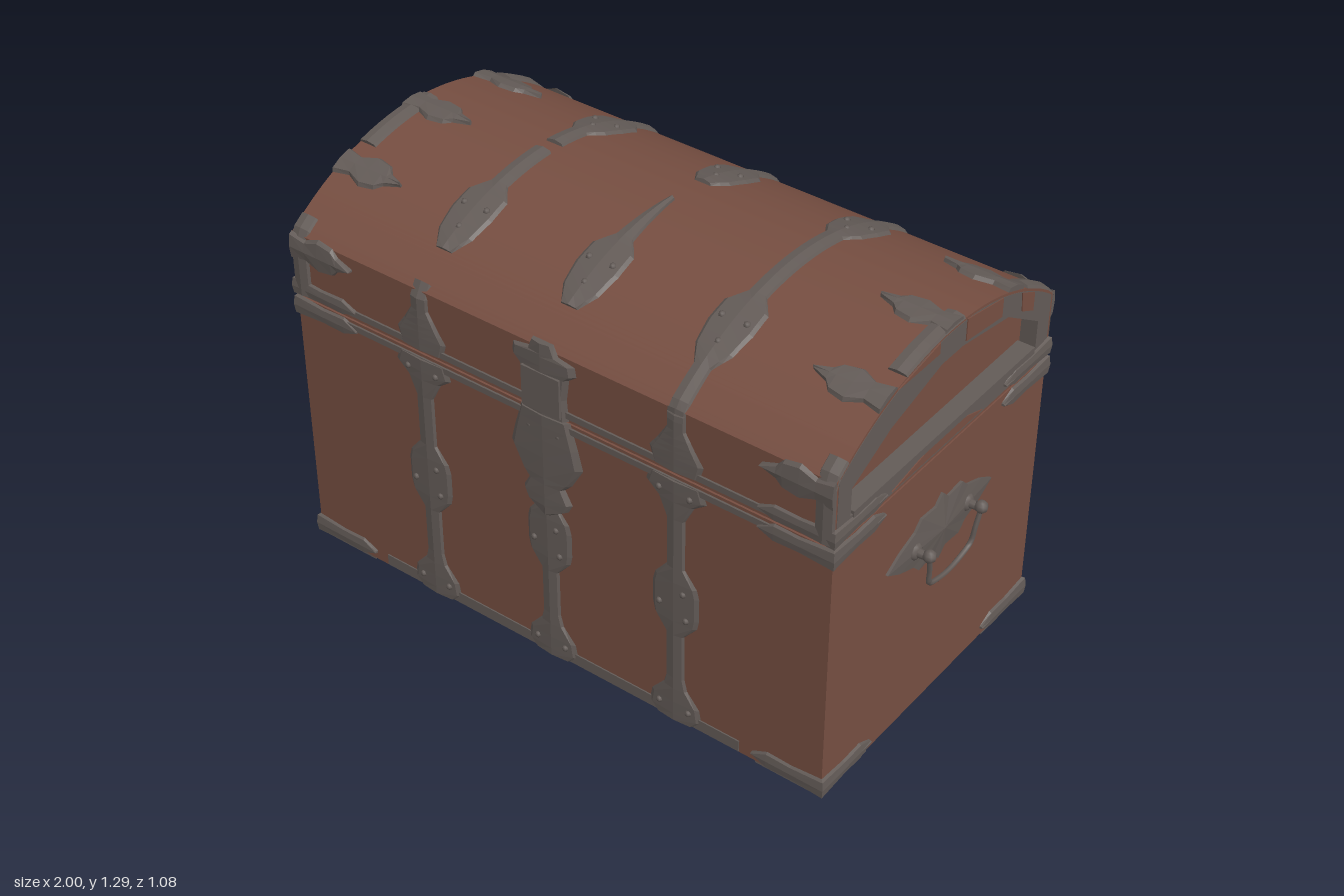
import * as THREE from 'three';
import { toCreasedNormals } from 'three/addons/utils/BufferGeometryUtils.js';

const HX = 0.925, HZ = 0.52, R = 0.841, CY = 0.437, WALL = 1.098;
const V = (x, y, z) => new THREE.Vector3(x, y, z);

export function createModel() {
  const root = new THREE.Group();
  const wood = new THREE.MeshStandardMaterial({ color: 0x764e41 });
  wood.name = 'reddish wood';
  const iron = new THREE.MeshStandardMaterial({ color: 0x635b57, side: THREE.DoubleSide });
  iron.name = 'dark iron';

  const add = (name, geo, mat, x = 0, y = 0, z = 0) => {
    const m = new THREE.Mesh(geo, mat);
    m.name = name;
    m.position.set(x, y, z);
    root.add(m);
    return m;
  };
  const box = (name, mat, w, h, d, x, y, z) => add(name, new THREE.BoxGeometry(w, h, d), mat, x, y, z);

  // Ridged band of varying width; each station holds point p, normal n, side direction and half width w
  const ribbon = (name, st, t = 0.008, ridge = 0.005) => {
    const pos = [];
    const rings = st.map(({ p, n, side, w }) => [[-1, 0], [-0.85, t], [0, t + ridge], [0.85, t], [1, 0]]
      .map(([a, h]) => p.clone().addScaledVector(side, a * w).addScaledVector(n, h)));
    const tri = (...v) => v.forEach(q => pos.push(q.x, q.y, q.z));
    for (let i = 0; i + 1 < rings.length; i++) {
      for (let j = 0; j < 4; j++) {
        const a = rings[i][j], b = rings[i][j + 1], c = rings[i + 1][j], d = rings[i + 1][j + 1];
        tri(a, b, d);
        tri(a, d, c);
      }
    }
    for (const r of [rings[0], rings[rings.length - 1]]) for (let j = 1; j < 4; j++) tri(r[0], r[j], r[j + 1]);
    const g = new THREE.BufferGeometry();
    g.setAttribute('position', new THREE.Float32BufferAttribute(pos, 3));
    g.computeVertexNormals();
    return add(name, g, iron);
  };

  // Lid surface: s is z over the arch, and runs on down the walls beyond it
  const lidAt = (s, x) => {
    const k = Math.sign(s), a = Math.abs(s);
    if (a > HZ) return { p: V(x, WALL - (a - HZ), k * HZ), n: V(0, 0, k) };
    const y = Math.sqrt(R * R - s * s);
    return { p: V(x, CY + y, s), n: V(0, y / R, s / R) };
  };
  const side = V(1, 0, 0);
  const lidStrap = (name, x, table) => {
    const st = [];
    table.forEach(([s, w], i) => {
      const [s0, w0] = table[Math.max(i - 1, 0)];
      const n = i ? Math.ceil(Math.abs(s - s0) / 0.04) : 1;
      for (let k = 1; k <= n; k++) {
        const f = k / n;
        st.push({ ...lidAt(s0 + (s - s0) * f, x), side, w: w0 + (w - w0) * f });
      }
    });
    return ribbon(name, st);
  };
  const wallStrap = (name, x, sz, table, t) => ribbon(name,
    table.map(([y, w]) => ({ p: V(x, y, sz * HZ), n: V(0, 0, sz), side, w })), t);

  // Extrude a (z, y) outline along x from x0 to x1
  const shapeOf = pts => new THREE.Shape(pts.map(([z, y]) => new THREE.Vector2(-z, y)));
  const extrudeX = (name, shape, x0, x1, mat) => {
    const g = new THREE.ExtrudeGeometry(shape, { depth: x1 - x0, bevelEnabled: false, curveSegments: 40 });
    g.rotateY(Math.PI / 2);
    return add(name, toCreasedNormals(g, 0.5), mat, x0);
  };
  const lidShape = i => {
    const s = new THREE.Shape();
    const a = Math.atan2(WALL - CY, HZ - i);
    s.moveTo(-HZ + i, 0.888 + i);
    s.lineTo(HZ - i, 0.888 + i);
    s.lineTo(HZ - i, WALL - i);
    s.absarc(0, CY, R - i, a, Math.PI - a, false);
    s.closePath();
    return s;
  };

  // Wooden body and arched lid
  box('body', wood, HX * 2, 0.875, HZ * 2, 0, 0.444, 0);
  extrudeX('lidCore', lidShape(0), -0.875, 0.875, wood);
  const skin = lidShape(0);
  skin.holes.push(lidShape(0.01));
  extrudeX('lidSkin', skin, -HX, HX, wood);

  // Iron rim around each recessed lid end, with bare wood patches
  const patches = [
    [[-0.06, 1.2], [-0.06, 1.27], [-0.24, 1.235], [-0.24, 1.175]],
    [[-0.35, 1.13], [-0.34, 1.195], [-0.41, 1.16], [-0.41, 1.1]],
    [[0.07, 1.235], [0.07, 1.27], [0.26, 1.235]],
    [[0.26, 0.905], [-0.18, 0.905], [-0.09, 0.935], [0.1, 0.935]],
  ];
  const rim = lidShape(0.008);
  rim.holes.push(shapeOf([[-0.45, 0.95], [0.45, 0.95], [0.45, 1.04], [0.28, 1.125], [0.05, 1.19],
    [-0.05, 1.19], [-0.28, 1.15], [-0.45, 1.04]]));
  for (const sx of [-1, 1]) {
    const span = (a, b) => (sx > 0 ? [a, b] : [-b, -a]);
    extrudeX('lidEndRim', rim, ...span(0.872, 0.926), iron);
    patches.forEach(p => extrudeX('rimWoodPatch', shapeOf(p), ...span(0.924, 0.929), wood));
    box('lidEndLedge', iron, 0.06, 0.024, 0.88, sx * 0.9, 0.948, 0);

    // Bands along the lid edge and leaves reaching inward from them
    for (const [a, b] of [[-0.72, -0.37], [-0.05, 0.22], [0.47, 0.72]])
      lidStrap('lidEdgeBand', sx * 0.897, [[a, 0.03], [b, 0.03]]);
    for (const s of [-0.56, -0.31, 0, 0.3, 0.56]) {
      ribbon('lidLeaf', [[0.925, 0.045], [0.87, 0.033], [0.82, 0.055], [0.77, 0.045], [0.75, 0.022], [0.7, 0.003]]
        .map(([x, w]) => {
          const { p, n } = lidAt(s, sx * x);
          return { p, n, side: V(1, 0, 0).cross(n), w };
        }), 0.012);
    }

    // Corner caps on the base, body top and lid bottom
    for (const sz of [-1, 1]) {
      for (const [y, k] of [[0.036, 1], [0.852, 1], [0.918, 0.9]]) {
        const leaf = [[0.23, 0.004], [0.18, 0.028], [0.1, 0.025]];
        const at = (x, z, n, w) => ({ p: V(x, y, z), n, side: V(0, 1, 0), w: w * k });
        ribbon('cornerCap', [
          ...leaf.map(([d, w]) => at(sx * (HX - d), sz * HZ, V(0, 0, sz), w)),
          at(sx * HX, sz * HZ, V(sx, 0, sz), 0.034),
          ...leaf.reverse().map(([d, w]) => at(sx * HX, sz * (HZ - d), V(sx, 0, 0), w)),
        ], 0.008, 0.003);
      }
      const foot = new THREE.Shape([[0, 0], [0.22, 0], [0.2, 0.06], [0.14, 0.13], [0.06, 0.2], [0, 0.22]]
        .map(([a, b]) => new THREE.Vector2(sx * (HX - a), sz * (HZ - b))));
      const g = new THREE.ExtrudeGeometry(foot, { depth: 0.008, bevelEnabled: false });
      g.rotateX(Math.PI / 2);
      add('footPlate', g, iron, 0, 0.008, 0).scale.z = 1;
    }

    // Ornate handle plate, domed towards its middle
    const outline = [[0.26, 0], [0.2, 0.035], [0.13, 0.06], [0.1, 0.09], [0.03, 0.085], [0, 0.115]];
    const half = [...outline, ...outline.slice(0, -1).reverse().map(([z, y]) => [-z, y])];
    const loop = [...half, ...half.slice(1, -1).reverse().map(([z, y]) => [z, -y])];
    const pos = [];
    loop.forEach(([z, y], i) => {
      const [z2, y2] = loop[(i + 1) % loop.length];
      pos.push(0.022, 0, 0, 0.008, y, z, 0.008, y2, z2);
      pos.push(0.008, y, z, 0, y, z, 0.008, y2, z2, 0.008, y2, z2, 0, y, z, 0, y2, z2);
    });
    const plate = new THREE.BufferGeometry();
    plate.setAttribute('position', new THREE.Float32BufferAttribute(pos.map((v, i) => (i % 3 ? v : v * sx)), 3));
    plate.computeVertexNormals();
    add('handlePlate', plate, iron, sx * HX, 0.62, 0);

    // Hanging handle on two posts
    for (const z of [-0.13, 0.13]) {
      const post = new THREE.CylinderGeometry(0.01, 0.016, 0.06, 8);
      post.rotateZ(-sx * Math.PI / 2);
      add('handlePost', post, iron, sx * 0.955, 0.62, z);
      add('handleKnob', new THREE.SphereGeometry(0.02, 8, 6), iron, sx * 0.98, 0.625, z);
      add('handleBoss', new THREE.SphereGeometry(0.026, 10, 6).scale(0.5, 1, 1), iron, sx * 0.937, 0.62, z);
    }
    const path = new THREE.CatmullRomCurve3([[0.98, 0.62, 0.13], [0.975, 0.56, 0.115], [0.97, 0.51, 0.105],
      [0.968, 0.49, 0.06], [0.968, 0.482, 0], [0.968, 0.49, -0.06], [0.97, 0.51, -0.105],
      [0.975, 0.56, -0.115], [0.98, 0.62, -0.13]].map(([x, y, z]) => V(sx * x, y, z)));
    add('handle', new THREE.TubeGeometry(path, 32, 0.008, 6), iron);
  }

  // Thin rails along the front and back edges
  for (const sz of [-1, 1]) {
    box('baseRail', iron, 1.3, 0.038, 0.008, 0, 0.03, sz * HZ);
    box('bodyTopRail', iron, 1.5, 0.02, 0.012, 0, 0.862, sz * HZ);
    box('lidRail', iron, 1.5, 0.02, 0.012, 0, 0.912, sz * HZ);
  }

  // Body straps with swellings and rivets
  const strap = [[0.01, 0.065], [0.035, 0.09], [0.08, 0.082], [0.13, 0.04], [0.17, 0.03], [0.33, 0.03], [0.38, 0.072],
    [0.41, 0.078], [0.49, 0.078], [0.52, 0.07], [0.57, 0.03], [0.74, 0.03], [0.8, 0.06], [0.83, 0.1], [0.87, 0.085]];
  const rivet = (x, y, z) => add('rivet', new THREE.SphereGeometry(0.011, 6, 4), iron, x, y, z);
  const xs = [-0.45, -0.01, 0.43];
  for (const sz of [-1, 1]) for (const x of xs) {
    wallStrap('bodyStrap', x, sz, strap);
    for (const [dx, y] of [[-0.05, 0.06], [0.05, 0.06], [-0.05, 0.43], [0.04, 0.4], [0.03, 0.49], [0.05, 0.83], [-0.05, 0.83]])
      rivet(x + dx, y, sz * (HZ + 0.008));
  }

  // Lid straps, broken where the iron has sunk into the wood
  const bulge = (a, b, k = 1) => [[a, 0.03], [a + k * 0.05, 0.07], [(a + b) / 2, 0.072], [b - k * 0.05, 0.06], [b, 0.028]];
  const foot = k => [[k * 0.715, 0.075], [k * 0.67, 0.088], [k * 0.63, 0.06], [k * 0.58, 0.03]];
  xs.forEach((x, i) => {
    lidStrap('lidStrapFront', x, [...bulge(0.17, 0.41), ...(i === 2 ? [[0.53, 0.03]] : [])]);
    lidStrap('lidStrapTop', x, [[-0.02 - (i === 1 ? 0.02 : 0), i === 1 ? 0.008 : 0.03], [0.17, 0.03]]);
    if (i !== 1) lidStrap('lidStrapFoot', x, [...foot(1), [i ? 0.52 : 0.5, 0.03]]);
    lidStrap('lidStrapBack', x, [...foot(-1), [-0.53, 0.03], ...bulge(-0.41, -0.18)]);
    if (i !== 1) lidStrap('lidStrapTopBack', x, [[-0.18, 0.03], [i ? -0.02 : -0.07, 0.03]]);
    for (const [dx, s] of [[-0.04, 0.27], [0.04, 0.27], [0, 0.34], [-0.04, -0.3], [0.04, -0.3], [0, -0.24]]) {
      const { p, n } = lidAt(s, x + dx);
      p.addScaledVector(n, 0.008);
      rivet(p.x, p.y, p.z);
    }
  });

  // Lock plate on the body and hasp on the lid
  wallStrap('lockPlate', -0.01, 1, [[0.54, 0.015], [0.57, 0.07], [0.6, 0.085], [0.645, 0.06], [0.67, 0.085],
    [0.74, 0.125], [0.8, 0.11], [0.85, 0.095], [0.885, 0.085]], 0.014);
  wallStrap('hasp', -0.01, 1, [[0.89, 0.08], [0.96, 0.075], [1.03, 0.085], [1.05, 0.11], [1.08, 0.105], [1.09, 0.05], [1.125, 0.035]], 0.014);
  box('haspBlock', iron, 0.13, 0.13, 0.02, -0.01, 0.965, HZ + 0.012);
  return root;
}
